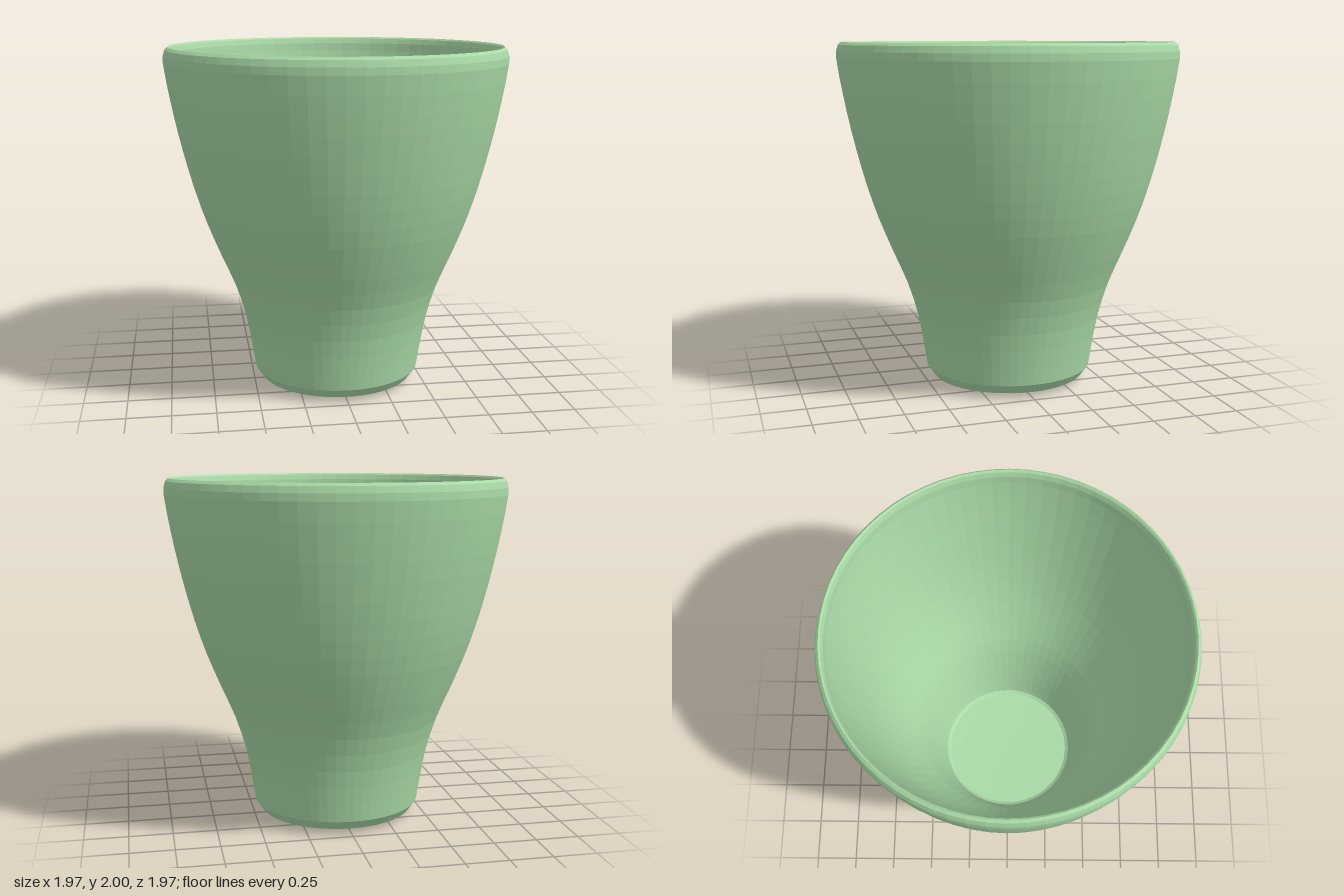
import * as THREE from 'three';

const SEGMENTS = 64;

// Smoothly resample a wall profile given as [radius, height] pairs
function smoothProfile(pairs, steps) {
  const curve = new THREE.SplineCurve(pairs.map(([r, y]) => new THREE.Vector2(r, y)));
  return curve.getSpacedPoints(steps);
}

const toPoints = (pairs) => pairs.map(([r, y]) => new THREE.Vector2(r, y));

export function createModel() {
  const group = new THREE.Group();
  group.name = 'cup';
  const material = new THREE.MeshStandardMaterial({ color: 0xaadaa8, flatShading: true });

  // Outer wall: narrow foot, gentle S-curve, nearly upright at the rim
  const outer = smoothProfile([
    [0.49, 0.085], [0.508, 0.2], [0.545, 0.4], [0.605, 0.6], [0.69, 0.8],
    [0.77, 1.0], [0.835, 1.2], [0.888, 1.4], [0.933, 1.6], [0.97, 1.8], [0.986, 1.91],
  ], 18);

  // Inner wall, from the rim down to the floor
  const inner = smoothProfile([
    [0.935, 1.91], [0.915, 1.8], [0.873, 1.6], [0.826, 1.4], [0.772, 1.2],
    [0.706, 1.0], [0.626, 0.8], [0.542, 0.6], [0.48, 0.4], [0.437, 0.24], [0.415, 0.15],
  ], 18);

  // Shallow convex underside with a bevelled edge
  const underside = toPoints([[0, 0], [0.3, 0.01], [0.45, 0.03]]);

  // Rounded lip joining the two walls
  const lip = toPoints([[0.985, 1.95], [0.975, 1.985], [0.96, 2], [0.95, 1.99], [0.94, 1.96]]);

  // Inside floor with a small fillet
  const floor = toPoints([[0.405, 0.115], [0.385, 0.1], [0.3, 0.095], [0, 0.09]]);

  const body = new THREE.Mesh(
    new THREE.LatheGeometry([...underside, ...outer, ...lip, ...inner, ...floor], SEGMENTS),
    material,
  );
  body.name = 'cupBody';
  group.add(body);
  return group;
}
